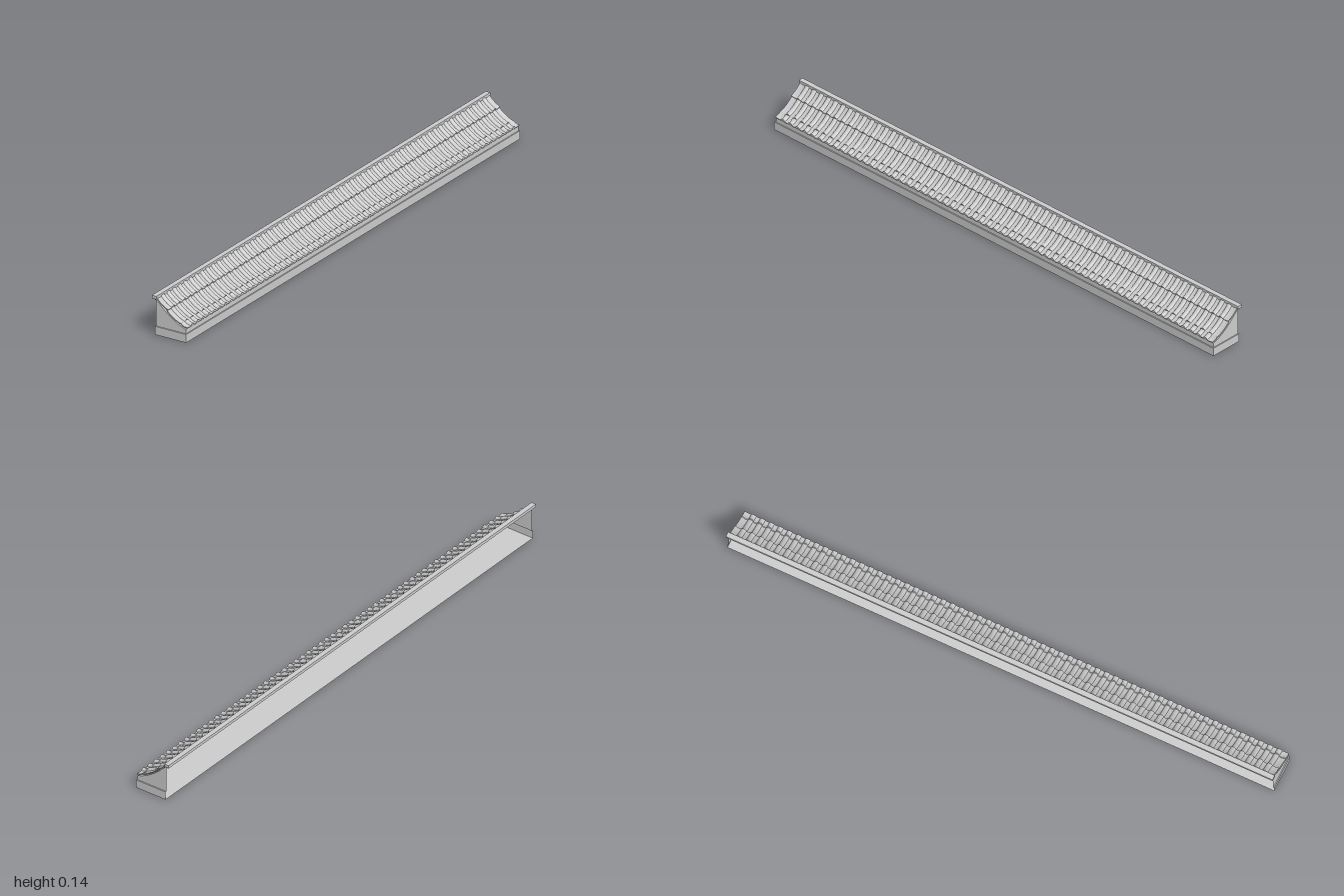
import * as THREE from 'three';
import { mergeGeometries, toCreasedNormals } from 'three/addons/utils/BufferGeometryUtils.js';

const COLUMNS = 60;
const PITCH = 1.99 / COLUMNS;
const solid = new THREE.MeshStandardMaterial({ color: 0xcccccc });
const thin = new THREE.MeshStandardMaterial({ color: 0xcccccc, side: THREE.DoubleSide });

const v2 = (p) => new THREE.Vector2(p[0], p[1]);
const curve = (a, b, c) => new THREE.QuadraticBezierCurve(v2(a), v2(b), v2(c));

function add(group, name, geometry, material = solid) {
  const mesh = new THREE.Mesh(geometry, material);
  mesh.name = name;
  group.add(mesh);
  return mesh;
}

// Sweeps a closed section [along z, along the path normal] down a curve in the xy plane
function sweep(path, section, steps) {
  const pos = [];
  const rings = [];
  for (let j = 0; j <= steps; j++) {
    const p = path.getPoint(j / steps);
    const t = path.getTangent(j / steps);
    rings.push(section.map(([u, v]) => [p.x - t.y * v, p.y + t.x * v, u]));
  }
  const tri = (a, b, c) => pos.push(...a, ...b, ...c);
  const n = section.length;
  for (let j = 0; j < steps; j++) {
    for (let i = 0; i < n; i++) {
      const k = (i + 1) % n;
      const a = rings[j][i], b = rings[j][k], c = rings[j + 1][k], d = rings[j + 1][i];
      tri(a, d, b);
      tri(b, d, c);
    }
  }
  const first = rings[0], last = rings[steps];
  for (let i = 1; i < n - 1; i++) {
    tri(first[0], first[i], first[i + 1]);
    tri(last[0], last[i + 1], last[i]);
  }
  const g = new THREE.BufferGeometry();
  g.setAttribute('position', new THREE.Float32BufferAttribute(pos, 3));
  return toCreasedNormals(g, 0.7);
}

// Open sheet: a polyline in the xy plane stretched along z
function sheet(points, length) {
  const pos = [];
  const h = length / 2;
  for (let i = 0; i < points.length - 1; i++) {
    const [a, b] = points[i], [c, d] = points[i + 1];
    pos.push(a, b, -h, c, d, -h, c, d, h, a, b, -h, c, d, h, a, b, h);
  }
  const g = new THREE.BufferGeometry();
  g.setAttribute('position', new THREE.Float32BufferAttribute(pos, 3));
  g.computeVertexNormals();
  return g;
}

function repeatAlongZ(geometry, count, offset) {
  const copies = [];
  for (let i = 0; i < count; i++) {
    copies.push(geometry.clone().translate(0, 0, (i + offset - COLUMNS / 2) * PITCH));
  }
  return mergeGeometries(copies);
}

export function createModel() {
  const group = new THREE.Group();
  group.name = 'tiledWallCoping';

  // Hollow plinth, open at the back
  add(group, 'plinth', sheet([[-0.057, 0], [0.066, 0], [0.066, 0.03], [0.062, 0.03]], 2), thin);

  // Front wall and concave roof deck
  const deck = curve([0.062, 0.046], [0.004, 0.062], [-0.057, 0.13]);
  const deckPoints = deck.getPoints(10).map((p) => [p.x, p.y]);
  add(group, 'roofDeck', sheet([[0.062, 0.03], ...deckPoints], 1.992), thin);

  // Both end walls, with a small ledge above the plinth
  const gable = new THREE.Shape([v2([-0.057, 0.03]), v2([0.062, 0.03]), ...deckPoints.map(v2)]);
  for (const s of [1, -1]) {
    const plinthEnd = add(group, 'plinthEnd', new THREE.PlaneGeometry(0.123, 0.03), thin);
    plinthEnd.position.set(0.0045, 0.015, s);
    const ledge = add(group, 'plinthLedge', new THREE.PlaneGeometry(0.123, 0.004), thin);
    ledge.rotation.x = -Math.PI / 2;
    ledge.position.set(0.0045, 0.03, s * 0.998);
    add(group, 'endWall', new THREE.ShapeGeometry(gable), thin).position.z = s * 0.996;
  }

  // Ridge cap and the moulding below it
  add(group, 'ridgeCap', new THREE.BoxGeometry(0.018, 0.011, 2)).position.set(-0.061, 0.1335, 0);
  add(group, 'ridgeMoulding', new THREE.BoxGeometry(0.007, 0.006, 1.992)).position.set(-0.0575, 0.126, 0);

  // Three overlapping courses of pan tiles and half-round cover tiles
  const w = PITCH / 2;
  const pan = [[0, -0.003], [w, 0], [w, 0.003], [0, 0], [-w, 0.003], [-w, 0]];
  const cover = [];
  for (let i = 0; i <= 7; i++) {
    const a = (i / 7) * Math.PI;
    cover.push([Math.cos(a) * 0.0095, Math.sin(a) * 0.0075]);
  }
  const courses = [
    ['upper', curve([-0.055, 0.13], [-0.036, 0.107], [-0.011, 0.097])],
    ['middle', curve([-0.015, 0.094], [0.01, 0.069], [0.04, 0.059])],
    ['eaves', curve([0.04, 0.061], [0.05, 0.05], [0.066, 0.05])],
  ];
  for (const [name, path] of courses) {
    add(group, name + 'PanTiles', repeatAlongZ(sweep(path, pan, 5), COLUMNS, 0.5));
    add(group, name + 'CoverTiles', repeatAlongZ(sweep(path, cover, 5), COLUMNS - 1, 1));
  }
  return group;
}
